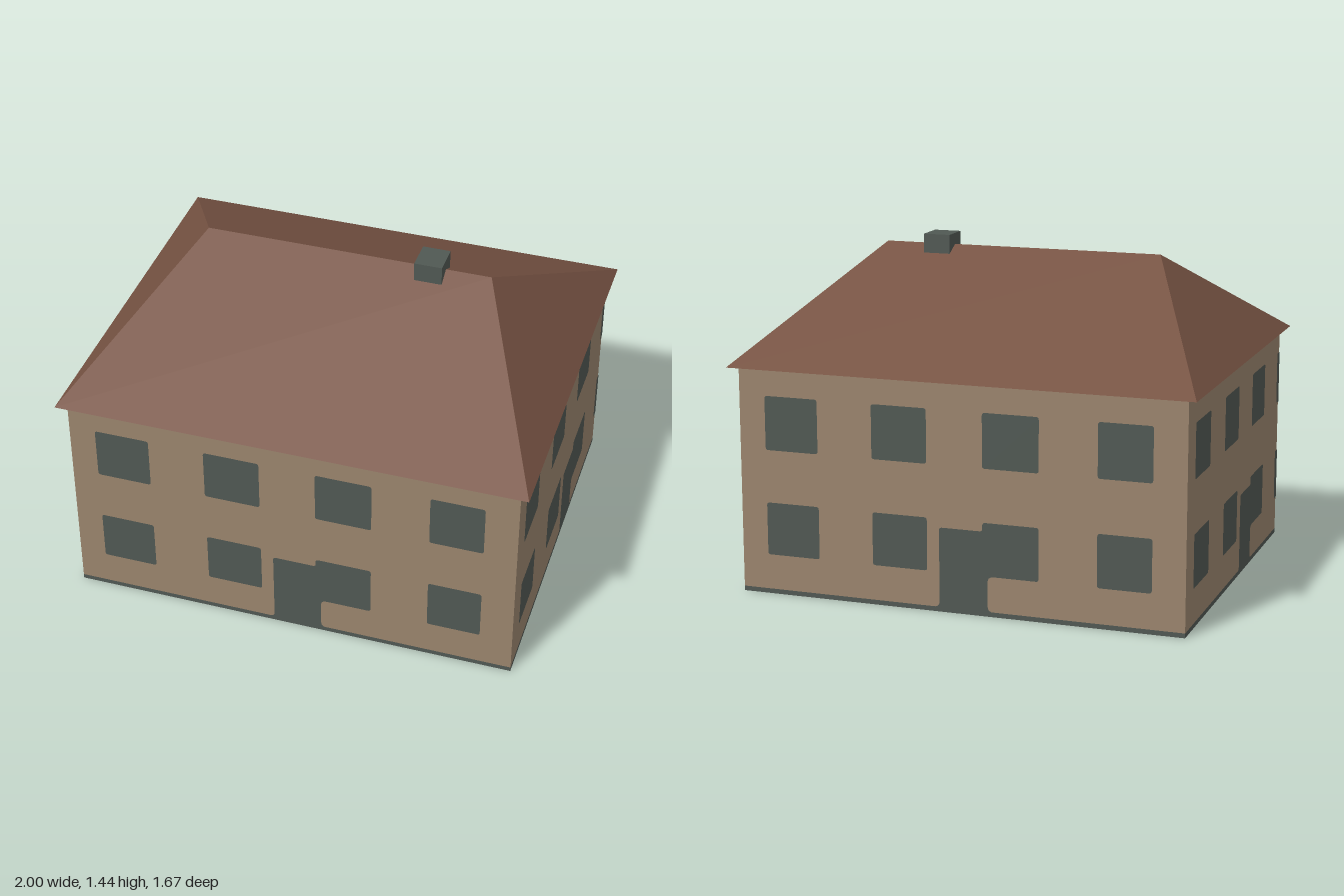
import * as THREE from 'three';

const WALL_X = 0.96, WALL_Z = 0.8, EAVE = 0.965, BASE = 0.02;
const ROWS = [[0.62, 0.85], [0.17, 0.395]];

const wallMat = new THREE.MeshStandardMaterial({ name: 'tan plaster', color: 0x9a846d });
const roofMat = new THREE.MeshStandardMaterial({ name: 'brown roof', color: 0x775343 });
const darkMat = new THREE.MeshStandardMaterial({ name: 'grey green', color: 0x505853 });

function box(name, mat, [x0, x1], [y0, y1], [z0, z1]) {
  const mesh = new THREE.Mesh(new THREE.BoxGeometry(x1 - x0, y1 - y0, z1 - z0), mat);
  mesh.position.set((x0 + x1) / 2, (y0 + y1) / 2, (z0 + z1) / 2);
  mesh.name = name;
  return mesh;
}

// Window pane outline with softened corners; the right corners can stay square
function paneShape(x0, x1, y0, y1, squareRight = false) {
  const r = 0.012, q = squareRight ? 0 : r;
  const s = new THREE.Shape();
  s.moveTo(x0 + r, y0).lineTo(x1 - q, y0);
  s.quadraticCurveTo(x1, y0, x1, y0 + q).lineTo(x1, y1 - q);
  s.quadraticCurveTo(x1, y1, x1 - q, y1).lineTo(x0 + r, y1);
  s.quadraticCurveTo(x0, y1, x0, y1 - r).lineTo(x0, y0 + r);
  s.quadraticCurveTo(x0, y0, x0 + r, y0);
  return s;
}

// Door flared at the foot and merged with the window beside it
function doorShape(d0, d1, w0, w1, [y0, y1]) {
  const r = 0.012, f = 0.025, top = 0.358;
  const s = new THREE.Shape();
  s.moveTo(d0 - f, BASE);
  s.quadraticCurveTo(d0, BASE, d0, BASE + f).lineTo(d0, top - r);
  s.quadraticCurveTo(d0, top, d0 + r, top).lineTo(w0 - r, top);
  s.quadraticCurveTo(w0, top, w0, top + r).lineTo(w0, y1 - r);
  s.quadraticCurveTo(w0, y1, w0 + r, y1).lineTo(w1 - r, y1);
  s.quadraticCurveTo(w1, y1, w1, y1 - r).lineTo(w1, y0 + r);
  s.quadraticCurveTo(w1, y0, w1 - r, y0).lineTo(d1 + f, y0);
  s.quadraticCurveTo(d1, y0, d1, y0 - f).lineTo(d1, BASE + f);
  s.quadraticCurveTo(d1, BASE, d1 + f, BASE);
  return s;
}

// One facade's openings, lying just proud of the wall
function facade(name, columns, door, angle, distance) {
  const group = new THREE.Group();
  group.name = name;
  const add = (label, shape) => {
    const mesh = new THREE.Mesh(new THREE.ShapeGeometry(shape, 4), darkMat);
    mesh.name = label;
    mesh.position.z = distance + 0.002;
    group.add(mesh);
  };
  ROWS.forEach(([y0, y1], row) => columns.forEach(([x0, x1], i) => {
    if (row === 1 && i === 2) add('doorAndWindow', doorShape(...door, x0, x1, [y0, y1]));
    else add('window', paneShape(x0, x1, y0, y1, x1 >= WALL_Z && distance === WALL_X));
  }));
  group.rotation.y = angle;
  return group;
}

// Hipped roof: four slopes and a flat underside
function hippedRoof() {
  const X = 1, Z = 0.837, R = 0.617, T = 1.395;
  const a = [-X, EAVE, Z], b = [X, EAVE, Z], c = [X, EAVE, -Z], d = [-X, EAVE, -Z];
  const l = [-R, T, 0], r = [R, T, 0];
  const faces = [[a, b, r], [a, r, l], [c, d, l], [c, l, r], [b, c, r], [d, a, l], [a, d, c], [a, c, b]];
  const geo = new THREE.BufferGeometry();
  geo.setAttribute('position', new THREE.Float32BufferAttribute(faces.flat(2), 3));
  geo.computeVertexNormals();
  const mesh = new THREE.Mesh(geo, roofMat);
  mesh.name = 'roof';
  return mesh;
}

export function createModel() {
  const house = new THREE.Group();
  house.name = 'house';
  house.add(
    box('plinth', darkMat, [-WALL_X, WALL_X], [0, BASE], [-WALL_Z, WALL_Z]),
    box('walls', wallMat, [-WALL_X, WALL_X], [BASE, EAVE - 0.002], [-WALL_Z, WALL_Z]),
    hippedRoof(),
    box('chimney', darkMat, [0.305, 0.423], [1.32, 1.443], [-0.066, 0.066])
  );

  // Opposite facades match under a half turn
  const longColumns = [[-0.845, -0.61], [-0.37, -0.13], [0.11, 0.35], [0.595, 0.822]];
  const shortColumns = [[-0.69, -0.453], [-0.208, 0.03], [0.275, 0.512], [0.757, WALL_Z]];
  const longDoor = [-0.077, 0.132], shortDoor = [0.09, 0.288];
  house.add(
    facade('frontOpenings', longColumns, longDoor, 0, WALL_Z),
    facade('backOpenings', longColumns, longDoor, Math.PI, WALL_Z),
    facade('leftOpenings', shortColumns, shortDoor, Math.PI / 2, WALL_X),
    facade('rightOpenings', shortColumns, shortDoor, -Math.PI / 2, WALL_X)
  );
  return house;
}
